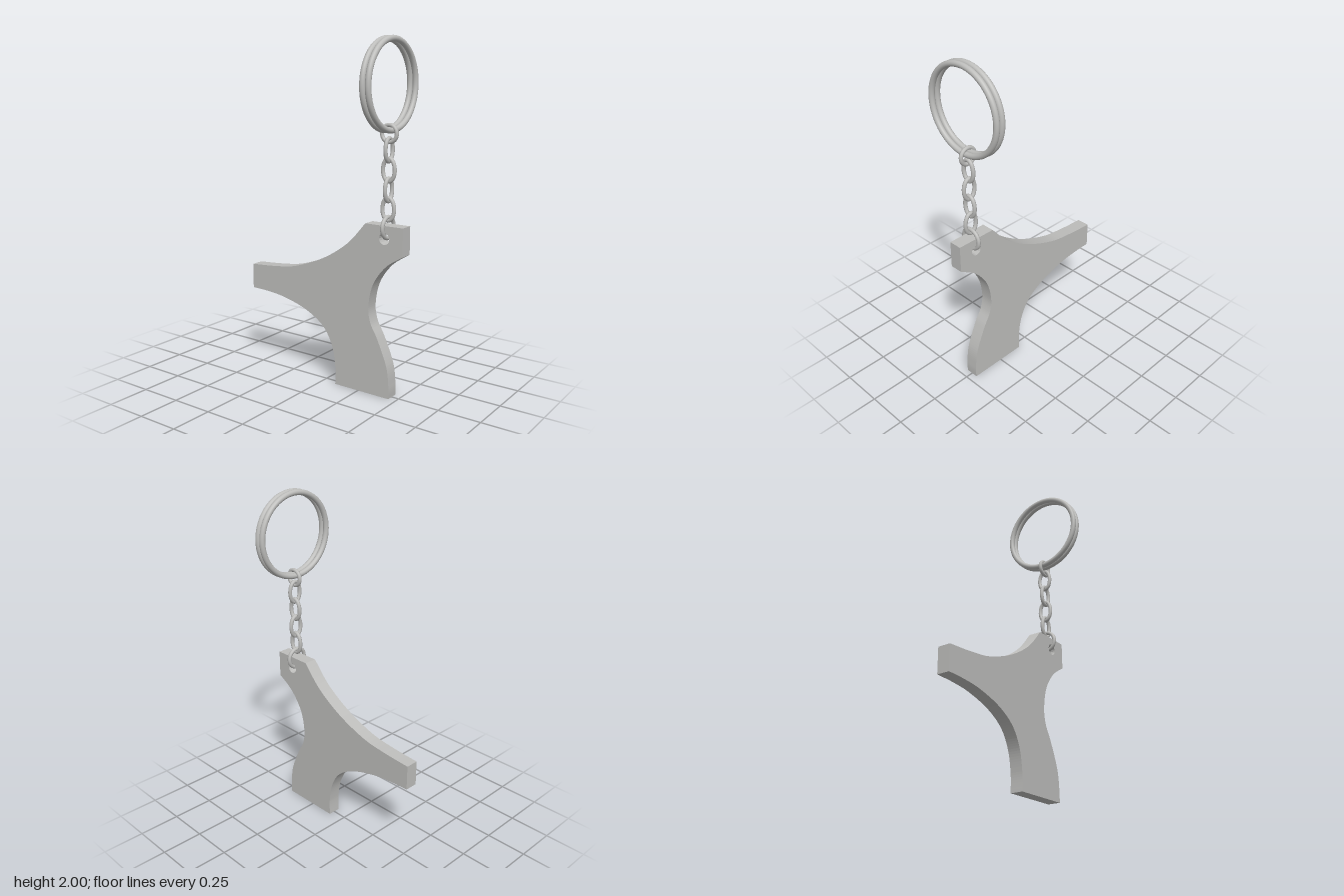
import * as THREE from 'three';

const CHAIN_X = 0.413;

export function createModel() {
  const model = new THREE.Group();
  const steel = new THREE.MeshStandardMaterial({ color: 0xbdbdbb });
  steel.name = 'steel grey';

  const add = (name, geometry, x, y) => {
    const mesh = new THREE.Mesh(geometry, steel);
    mesh.name = name;
    mesh.position.set(x, y, 0);
    model.add(mesh);
    return mesh;
  };
  const points = (list) => list.map(([x, y]) => new THREE.Vector2(x, y));

  // Flat tag: three curved sides between straight ends
  const outline = new THREE.Shape();
  outline.moveTo(0.09, 0);
  outline.lineTo(0.455, 0);
  outline.splineThru(points([[0.455, 0.07], [0.438, 0.19], [0.378, 0.335], [0.33, 0.425],
    [0.316, 0.52], [0.345, 0.65], [0.425, 0.76], [0.53, 0.83]]));
  outline.lineTo(0.53, 0.99);
  outline.lineTo(0.29, 0.99);
  outline.splineThru(points([[0.17, 0.86], [0, 0.75], [-0.2, 0.673], [-0.36, 0.648], [-0.535, 0.635]]));
  outline.lineTo(-0.535, 0.485);
  outline.splineThru(points([[-0.41, 0.48], [-0.28, 0.463], [-0.12, 0.415], [0, 0.34],
    [0.065, 0.235], [0.09, 0.11], [0.09, 0]]));

  // Hole for the chain
  const hole = new THREE.Path();
  hole.absarc(CHAIN_X, 0.917, 0.033, 0, Math.PI * 2, true);
  outline.holes.push(hole);

  const tag = new THREE.ExtrudeGeometry(outline, { depth: 0.077, bevelEnabled: false, curveSegments: 8 });
  tag.translate(0, 0, -0.0385);
  add('tag', tag, 0, 0);

  // Oval or round chain link; sideways links lie in the yz plane
  const link = (name, y, halfWidth, halfHeight, sideways) => {
    const path = new THREE.CatmullRomCurve3(Array.from({ length: 16 }, (_, i) => {
      const a = (i / 16) * Math.PI * 2;
      return new THREE.Vector3(Math.cos(a) * halfWidth, Math.sin(a) * halfHeight, 0);
    }), true);
    const mesh = add(name, new THREE.TubeGeometry(path, 40, 0.0115, 10, true), CHAIN_X, y);
    if (sideways) mesh.rotation.y = Math.PI / 2;
  };
  link('tagLoop', 0.975, 0.059, 0.059, true);
  [1.076, 1.183, 1.291, 1.4].forEach((y, i) => link('chainLink' + (i + 1), y, 0.037, 0.063, i % 2 === 1));
  link('ringLoop', 1.487, 0.046, 0.046, false);

  // Double key ring
  for (const side of [-1, 1]) {
    const ring = add('keyRing', new THREE.TorusGeometry(0.2395, 0.0165, 14, 72), CHAIN_X + side * 0.0175, 1.744);
    ring.rotation.y = Math.PI / 2;
  }

  return model;
}
